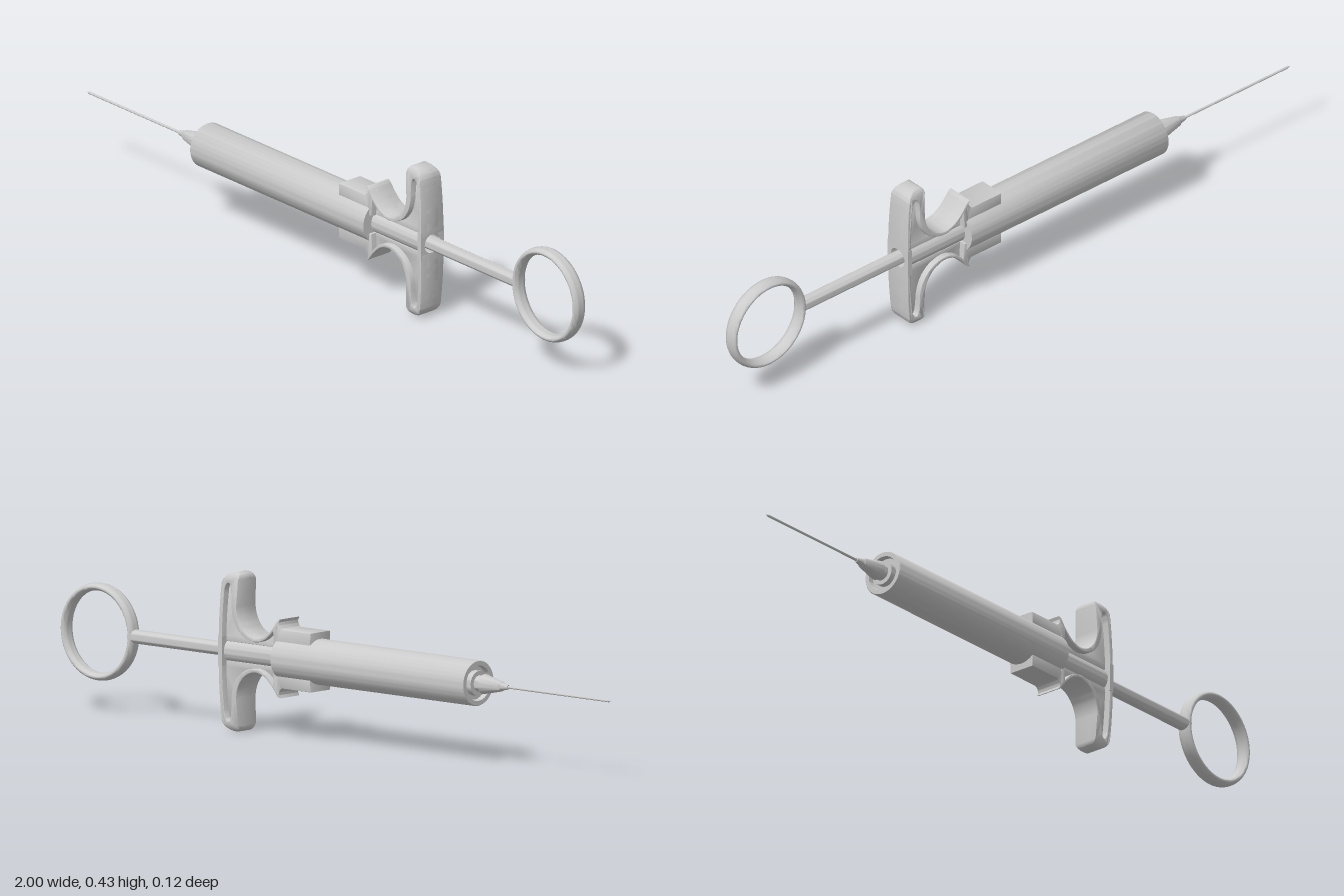
import * as THREE from 'three';
import { toCreasedNormals } from 'three/addons/utils/BufferGeometryUtils.js';

const AXIS = 0.217; // height of the long axis
const material = new THREE.MeshStandardMaterial({ color: 0xcccccc, side: THREE.DoubleSide });

export function createModel() {
  const model = new THREE.Group();
  const body = new THREE.Group();
  body.name = 'syringe';
  body.position.y = AXIS;
  model.add(body);

  const add = (name, geometry, parent = body) => {
    const mesh = new THREE.Mesh(toCreasedNormals(geometry, 0.6), material);
    mesh.name = name;
    parent.add(mesh);
    return mesh;
  };
  // Turned part along x, from [x, radius] pairs
  const turned = (name, profile, sides = 48) => add(name,
    new THREE.LatheGeometry(profile.map(([x, r]) => new THREE.Vector2(r, x)), sides).rotateZ(-Math.PI / 2));

  // Barrel with a recessed front, nozzle and needle
  turned('barrel', [[-0.5, 0], [-0.5, 0.046], [-0.515, 0.048], [-0.515, 0.06], [-0.512, 0.062],
    [0.187, 0.062], [0.187, 0.028]], 64);
  turned('nozzle', [[-0.5, 0.034], [-0.518, 0.034], [-0.518, 0.022], [-0.535, 0.022], [-0.537, 0.027],
    [-0.6, 0.014], [-0.603, 0.011], [-0.625, 0.006], [-0.625, 0]], 32).geometry.computeBoundingBox();
  turned('needle', [[-1, 0], [-0.99, 0.0035], [-0.6, 0.0035]], 12);

  // Plunger rod and thumb ring
  turned('plungerRod', [[0.15, 0], [0.15, 0.019], [0.75, 0.019]], 32);
  const ring = new THREE.TorusGeometry(0.122, 0.0105, 20, 64);
  ring.scale(1, 1, 1.95).translate(0.866, 0, 0);
  add('thumbRing', ring);

  // Grip core: hollow tube and end plate with a hole for the rod
  turned('gripTube', [[0.18, 0.034], [0.39, 0.034], [0.39, 0.028], [0.18, 0.028]], 40);
  const plate = new THREE.Shape([[-0.042, -0.04], [0.042, -0.04], [0.042, 0.04], [-0.042, 0.04]]
    .map(([a, b]) => new THREE.Vector2(a, b)));
  plate.holes.push(new THREE.Path().absarc(0, 0, 0.028, 0, Math.PI * 2, true));
  add('gripEndPlate', new THREE.ExtrudeGeometry(plate, { depth: 0.014, bevelEnabled: false, curveSegments: 24 })
    .rotateY(Math.PI / 2).translate(0.3825, 0, 0));

  // Outer edge of one grip half: horn, finger curve, handle tip, back
  const outer = (path) => {
    path.moveTo(0.178, 0.026);
    path.lineTo(0.184, 0.085);
    path.lineTo(0.174, 0.107);
    path.quadraticCurveTo(0.182, 0.107, 0.19, 0.094);
    path.bezierCurveTo(0.215, 0.062, 0.235, 0.046, 0.265, 0.046);
    path.bezierCurveTo(0.305, 0.05, 0.332, 0.085, 0.333, 0.125);
    path.lineTo(0.329, 0.195);
    path.quadraticCurveTo(0.328, 0.216, 0.345, 0.216);
    path.bezierCurveTo(0.37, 0.216, 0.387, 0.205, 0.389, 0.18);
    path.quadraticCurveTo(0.397, 0.11, 0.3965, 0.026);
    return path;
  };
  // Inner edge of its rim, followed back from the plate to the horn
  const inner = (path) => {
    path.lineTo(0.383, 0.026);
    path.quadraticCurveTo(0.384, 0.1, 0.376, 0.17);
    path.quadraticCurveTo(0.37, 0.19, 0.36, 0.186);
    path.quadraticCurveTo(0.352, 0.18, 0.352, 0.13);
    path.bezierCurveTo(0.35, 0.075, 0.315, 0.038, 0.265, 0.036);
    path.bezierCurveTo(0.235, 0.037, 0.215, 0.052, 0.198, 0.073);
    path.lineTo(0.195, 0.026);
    return path;
  };
  // Extrude about z = 0, narrowing and rounding towards the handle tip
  const slab = (shape, half) => {
    const bevel = 0.003;
    const g = new THREE.ExtrudeGeometry(shape, { depth: 2 * (half - bevel), curveSegments: 12,
      bevelThickness: bevel, bevelSize: bevel, bevelOffset: -bevel, bevelSegments: 2 });
    g.translate(0, 0, bevel - half);
    const p = g.attributes.position;
    for (let i = 0; i < p.count; i++) {
      const v = p.getY(i);
      const t = Math.max(0, (v - 0.185) / 0.032);
      p.setZ(i, p.getZ(i) * (1 - 0.5 * Math.max(0, v)) * (1 - 0.4 * t * t));
    }
    return g;
  };

  // Two grip halves, the lower one turned over about the axis
  for (const [name, turn] of [['upperGrip', 0], ['lowerGrip', Math.PI]]) {
    const half = new THREE.Group();
    half.name = name;
    half.rotation.x = turn;
    body.add(half);
    add('gripRim', slab(inner(outer(new THREE.Shape())), 0.042), half);
    add('gripWeb', slab(outer(new THREE.Shape()), 0.024), half);
    // Tab clasping the barrel
    const tab = new THREE.Shape();
    tab.moveTo(0.062, 0.045);
    tab.lineTo(0.062, 0.08);
    tab.lineTo(0.165, 0.08);
    tab.quadraticCurveTo(0.176, 0.082, 0.178, 0.1);
    tab.lineTo(0.187, 0.09);
    tab.lineTo(0.187, 0.045);
    add('barrelTab', slab(tab, 0.041), half);
  }
  return model;
}
